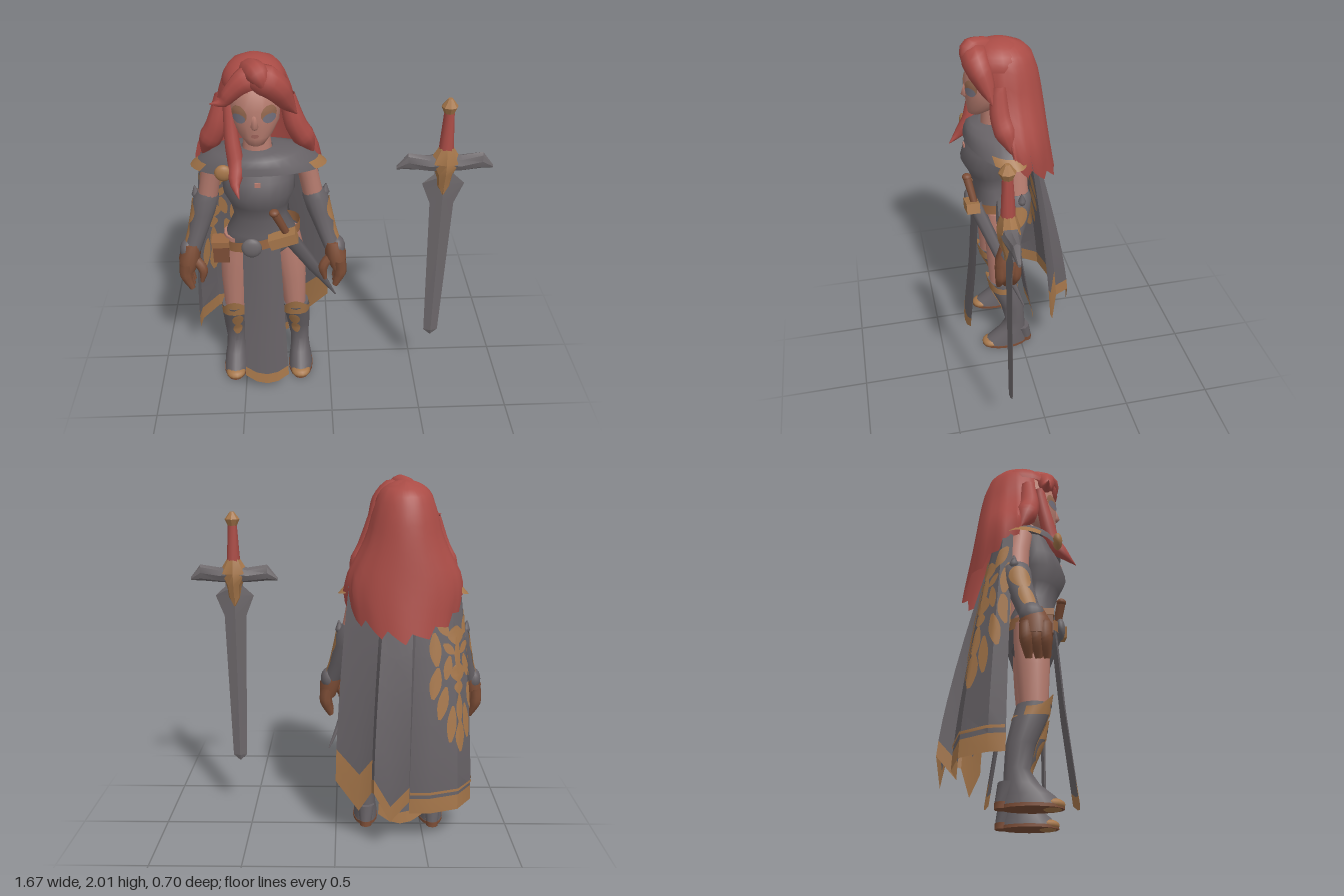
import * as THREE from 'three';
import { toCreasedNormals } from 'three/addons/utils/BufferGeometryUtils.js';

const V = (x, y, z) => new THREE.Vector3(x, y, z);
const paint = (name, color) => {
  const m = new THREE.MeshStandardMaterial({ color, side: THREE.DoubleSide });
  m.name = name;
  return m;
};
const M = {
  cloth: paint('charcoal cloth', 0x666165), gold: paint('old gold', 0xa5764a),
  hair: paint('red hair', 0xaa4c46), skin: paint('skin', 0xb67c6f),
  leather: paint('brown leather', 0x7c4d36), belt: paint('tan leather', 0x9a6843),
  steel: paint('steel', 0x6c676a), eye: paint('slate eye', 0x74707c), shade: paint('eye shade', 0x966950),
  lip: paint('lip', 0xa5685f),
};
const { lerp, clamp } = THREE.MathUtils;

// linear lookup in a short table
function table(xs, ys, x) {
  for (let i = 1; i < xs.length; i++)
    if (x <= xs[i]) return lerp(ys[i - 1], ys[i], (x - xs[i - 1]) / (xs[i] - xs[i - 1]));
  return ys[ys.length - 1];
}
// surface of nu x nv cells from a point rule; pick(i, j) chooses the material of a cell
function grid(name, nu, nv, fn, mats, pick = () => 0, crease = 0.9) {
  mats = [mats].flat();
  const pos = [], faces = mats.map(() => []), g = new THREE.BufferGeometry();
  for (let j = 0; j <= nv; j++) for (let i = 0; i <= nu; i++) pos.push(...fn(i, j));
  for (let j = 0; j < nv; j++) for (let i = 0; i < nu; i++) {
    const a = j * (nu + 1) + i, d = a + nu + 1;
    faces[pick(i, j)].push(a, d, a + 1, a + 1, d, d + 1);
  }
  g.setAttribute('position', new THREE.Float32BufferAttribute(pos, 3));
  g.setIndex(faces.flat());
  let start = 0;
  faces.forEach((f, k) => { g.addGroup(start, f.length, k); start += f.length; });
  const mesh = new THREE.Mesh(toCreasedNormals(g, crease), mats.length > 1 ? mats : mats[0]);
  mesh.name = name;
  return mesh;
}
// closed loft through level rings [y, rx, rz, cx, cz], listed from the top down
function loft(name, rings, mat, n = 14, crease = 0.9) {
  const first = rings[0], last = rings[rings.length - 1];
  const flat = r => [r[0], 0, 0, r[3], r[4]];
  const all = [flat(first), ...rings, flat(last)];
  return grid(name, n, all.length - 1, (i, j) => {
    const [y, rx, rz, cx = 0, cz = 0] = all[j], a = (i % n) / n * Math.PI * 2;
    return [cx + rx * Math.sin(a), y, cz + rz * Math.cos(a)];
  }, mat, undefined, crease);
}
// oval painted patch lying on a loft, round angle a0
function patch(name, rings, a0, spread, yTop, yBot, mat, off = .004) {
  const up = [...rings].reverse(), ys = up.map(r => r[0]);
  return grid(name, 6, 8, (i, j) => {
    const y = lerp(yTop, yBot, j / 8), a = a0 + (i / 3 - 1) * spread * Math.sqrt(Math.sin(Math.PI * (.03 + .94 * j / 8)));
    const [rx, rz, cx, cz] = [1, 2, 3, 4].map(k => table(ys, up.map(r => r[k]), y));
    return [cx + (rx + off) * Math.sin(a), y, cz + (rz + off) * Math.cos(a)];
  }, mat);
}
// tube with changing radius
function taper(name, pts, radii, mat, seg = 10, sides = 8) {
  const curve = new THREE.CatmullRomCurve3(pts.map(p => V(...p)));
  const g = new THREE.TubeGeometry(curve, seg, 1, sides), p = g.attributes.position, v = V(0, 0, 0);
  const ts = radii.map((_, i) => i / (radii.length - 1));
  for (let k = 0; k < p.count; k++) {
    const t = Math.floor(k / (sides + 1)) / seg, c = curve.getPointAt(t);
    v.fromBufferAttribute(p, k).sub(c).multiplyScalar(table(ts, radii, t)).add(c);
    p.setXYZ(k, v.x, v.y, v.z);
  }
  const mesh = new THREE.Mesh(toCreasedNormals(g, 1.3), mat);
  mesh.name = name;
  return mesh;
}
function ball(name, pos, scale, mat) {
  const m = new THREE.Mesh(new THREE.SphereGeometry(1, 14, 10), mat);
  m.name = name; m.position.set(...pos); m.scale.set(...scale);
  return m;
}
function box(name, pos, size, mat, roll = 0) {
  const m = new THREE.Mesh(new THREE.BoxGeometry(...size), mat);
  m.name = name; m.position.set(...pos); m.rotation.z = roll;
  return m;
}

// cape folds: [top x, top z, hem x, hem z, hem y]
const FOLDS = [
  [-.31, .02, -.41, -.02, .2], [-.3, -.03, -.4, -.1, .2], [-.25, -.06, -.31, -.23, .2],
  [-.16, -.08, -.15, -.27, .19], [-.07, -.085, -.04, -.25, .18], [-.05, -.09, -.03, -.35, .3],
  [.03, -.1, .07, -.335, .17], [.1, -.09, .16, -.315, .33], [.12, -.085, .17, -.24, .3],
  [.19, -.07, .24, -.2, .17], [.3, -.04, .37, -.15, .33]];
function capePoint(u, t) {
  const i = Math.min(Math.floor(u), FOLDS.length - 2), f = u - i;
  const [xt, zt, xb, zb, yb] = FOLDS[i].map((a, k) => lerp(a, FOLDS[i + 1][k], f));
  return V(lerp(xt, xb, 1 - (1 - t) ** 1.6), lerp(1.43, yb, t), lerp(zt, zb, 1 - (1 - t) ** 1.3));
}
function makeCape() {
  const g = new THREE.Group(); g.name = 'cape';
  const rows = [0, .15, .3, .45, .6, .75, .83, .93, 1];
  g.add(grid('capeCloth', 10, 8, (i, j) => capePoint(i, rows[j]).toArray(), [M.cloth, M.gold],
    (i, j) => (j === 7 || (i >= 8 && j === 6) ? 1 : 0), .5));
  g.add(grid('hemStripe', 4, 1, (i, j) => capePoint(i, .9 + j * .012).add(V(-.003, 0, -.005)).toArray(), M.gold));
  // lion emblem: leaf shapes [offset, height, length, width, turn] lying on both faces of the cape
  const leaf = (x0, y0, len, wid, turn) => [-.007, .007].forEach(off => g.add(grid('lionEmblem', 4, 6, (i, j) => {
    const s = (i / 4 - .5) * wid * Math.sin(Math.PI * (.08 + .84 * j / 6)), q = (j / 6 - .5) * len;
    const c = Math.cos(turn), d = Math.sin(turn), t = (1.43 - (y0 + s * d + q * c)) / 1.23;
    const u = table([0, .08, .21, .37, .49], [0, 1, 2, 3, 4], clamp(.19 + x0 + s * c - q * d, .004, .485));
    return capePoint(u, t).add(V(off * .7, 0, off)).toArray();
  }, M.gold)));
  [[1.17, .1, .16], [1.06, .2, .06], [.97, .1, .13], [.89, .07, .08], [.77, .17, .06], [.62, .18, .075]]
    .forEach(([y, l, w]) => leaf(0, y, l, w, 0));
  for (const s of [-1, 1])
    [[.07, 1.1, .1, .05, -1], [.08, 1.0, .13, .06, .25], [.12, 1.23, .15, .08, -.7], [.17, 1.1, .18, .085, -.15],
      [.165, .92, .17, .08, .2], [.115, .81, .18, .07, .25], [.06, .69, .2, .06, .1]]
      .forEach(([x, y, l, w, turn]) => leaf(s * x, y, l, w, s * turn));
  return g;
}

function makeHair() {
  const g = new THREE.Group(); g.name = 'hair';
  const ys = [1.15, 1.4, 1.5, 1.6, 1.7, 1.8, 1.9, 1.95, 1.98];
  const half = [.29, .33, .305, .25, .205, .18, .145, .1, 0];
  const back = [-.25, -.205, -.19, -.177, -.163, -.145, -.11, -.06, .03];
  const front = [.02, .04, .07, .12, .16, .17, .16, .1, 0];
  const nu = 40, nv = 14;
  // long mane with a jagged lower edge
  g.add(grid('mane', nu, nv, (i, j) => {
    const u = i / nu * 2 - 1, a = u * 2.2, jag = (i % 4) * .018;
    const y = lerp(1.98, 1.15 + .31 * Math.abs(u) ** 1.6 + jag, (j / nv) ** 1.5);
    const c = Math.cos(a), z = .04 - c * (c > 0 ? .04 - table(ys, back, y) : table(ys, front, y));
    const ripple = 1 + .02 * Math.sin(i * Math.PI / 2) * j / nv;
    return [Math.sin(a) * table(ys, half, y) * ripple, y, z];
  }, M.hair, undefined, 1.2));
  const crown = new THREE.Mesh(new THREE.SphereGeometry(1, 18, 8, 0, Math.PI * 2, 0, Math.PI / 2), M.hair);
  crown.name = 'crown'; crown.position.set(0, 1.85, .07); crown.scale.set(.16, .13, .17);
  g.add(crown);
  // swept fringe: a broad wave to the left, a smaller one to the right, and a raised tuft
  const lock = (name, pts, radii) => g.add(taper(name, pts, radii, M.hair, 14, 10));
  lock('leftFringe', [[-.03, 1.88, .16], [.045, 1.905, .2], [.105, 1.86, .19], [.155, 1.77, .16], [.21, 1.69, .14]], [.05, .08, .068, .045, .001]);
  lock('rightFringe', [[.05, 1.91, .15], [-.04, 1.89, .19], [-.11, 1.835, .2], [-.15, 1.79, .2], [-.215, 1.785, .21]], [.05, .072, .05, .032, .001]);
  lock('tuft', [[-.04, 1.9, .08], [.0, 1.935, .17], [.03, 1.935, .23], [.06, 1.87, .25]], [.05, .06, .058, .02]);
  lock('longLock', [[-.125, 1.78, .16], [-.12, 1.6, .195], [-.105, 1.45, .235], [-.11, 1.38, .29], [-.09, 1.33, .35]], [.03, .034, .04, .04, .001]);
  for (const s of [-1, 1])
    lock('sideLock', [[s * .16, 1.78, .1], [s * .2, 1.62, .1], [s * .26, 1.5, .07], [s * .29, 1.42, .05]], [.04, .055, .06, .001]);
  return g;
}

function makeHead() {
  const g = new THREE.Group(); g.name = 'head';
  const face = [[1.93, .06, .06, 0, .1], [1.86, .115, .12, 0, .12], [1.76, .13, .13, 0, .13], [1.68, .122, .125, 0, .135],
    [1.61, .085, .09, 0, .16], [1.57, .045, .045, 0, .2], [1.555, .02, .02, 0, .2]];
  g.add(loft('face', face, M.skin, 18, 1.5));
  g.add(loft('neck', [[1.62, .065, .06, 0, .11], [1.46, .08, .07, 0, .11]], M.skin));
  g.add(loft('nose', [[1.74, .01, .01, 0, .25], [1.68, .02, .025, 0, .255], [1.665, .012, .01, 0, .255]], M.skin, 8, 1.5));
  g.add(patch('mouth', face, 0, .2, 1.64, 1.617, M.lip));
  for (const s of [-1, 1]) {
    g.add(patch('eyeShade', face, s * .62, .36, 1.785, 1.695, M.shade));
    g.add(patch('eye', face, s * .62, .3, 1.745, 1.697, M.eye, .007));
  }
  return g;
}

// arm and leg for one side
function makeLimbs(s) {
  const g = new THREE.Group(); g.name = s > 0 ? 'leftLimbs' : 'rightLimbs';
  const side = rings => rings.map(([y, a, b, x, z]) => [y, a, b, s * x, z]);
  const add = (name, rings, mat, n) => g.add(loft(name, side(rings), mat, n));
  add('upperArm', [[1.42, .06, .065, .23, .05], [1.3, .055, .064, .26, .035], [1.14, .055, .062, .29, .03]], M.skin);
  const bracer = [[1.2, .052, .064, .285, .03], [1.165, .07, .076, .295, .03], [1.08, .066, .072, .315, .04], [.97, .055, .062, .35, .07], [.86, .05, .056, .39, .1]];
  add('bracer', bracer, M.cloth);
  [[1.15, 1.02, .75], [1.03, .89, .6]].forEach(([top, bot, w]) =>
    g.add(patch('bracerTrim', side(bracer), s * 1.45, w, top, bot, M.gold, .005)));
  g.add(taper('elbowGuard', [[s * .355, 1.22, .02], [s * .35, 1.17, .02], [s * .35, 1.12, .02]], [.004, .025, .004], M.cloth));
  add('glove', [[.91, .045, .055, .385, .1], [.83, .06, .073, .405, .115], [.75, .045, .066, .42, .12]], M.leather);
  g.add(ball('handPlate', [s * .413, .86, .1], [.046, .065, .06], M.cloth));
  [.075, .12, .16].forEach(z => g.add(taper('finger', [[s * .425, .81, z], [s * .43, .73, z], [s * .4, .645, z + .01]], [.035, .034, .016], M.leather)));
  g.add(taper('thumb', [[s * .38, .82, .13], [s * .335, .76, .15], [s * .345, .68, .16]], [.03, .028, .01], M.leather));
  add('thigh', [[.99, .08, .09, .125, .11], [.85, .088, .09, .145, .11], [.7, .078, .083, .16, .112], [.5, .062, .068, .17, .115]], M.skin);
  const boot = [[.5, .073, .085, .175, .115], [.42, .074, .082, .18, .09], [.3, .066, .07, .187, .05], [.18, .053, .06, .192, .033],
    [.11, .057, .085, .194, .055], [.06, .066, .12, .195, .085], [.015, .07, .145, .195, .1]];
  add('boot', boot, M.cloth, 16);
  [[.44, .34, .45], [.345, .25, .4]].forEach(([top, bot, w]) =>
    g.add(patch('bootPattern', side(boot), s * -.25, w, top, bot, M.gold)));
  add('sole', [[.016, .073, .145, .195, .1], [0, .073, .145, .195, .1]], M.leather, 16);
  add('heel', [[.12, .05, .045, .195, -.01], [.03, .036, .035, .195, -.033]], M.cloth, 10);
  add('heelTip', [[.03, .037, .037, .195, -.033], [0, .035, .035, .195, -.036]], M.leather, 10);
  g.add(ball('toeCap', [s * .195, .02, .19], [.057, .03, .058], M.gold));
  // gold boot cuff, peaked at the front
  g.add(grid('bootCuff', 16, 1, (i, j) => {
    const a = i / 16 * Math.PI * 2, f = Math.max(Math.cos(a), 0) ** 2;
    return [s * .174 + .08 * Math.sin(a), (j ? .43 : .475) + (j ? .02 : .085) * f, (j ? .098 : .117) + .091 * Math.cos(a)];
  }, M.gold));
  return g;
}

// hanging cloth panel with a gold hem
function panel(name, z) {
  const rows = [0, .25, .5, .75, .93, 1];
  return grid(name, 4, 5, (i, j) => {
    const q = i / 2 - 1, t = rows[j];
    return [q * lerp(.1, .125, t), lerp(.98, .05 + .05 * q * q, t), table([0, .5, 1], z, t) - .02 * q * q * Math.sign(z[2])];
  }, [M.cloth, M.gold], (i, j) => (j === 4 ? 1 : 0));
}

function makeBody() {
  const g = new THREE.Group(); g.name = 'body';
  g.add(loft('bodice', [[1.46, .19, .1, 0, .12], [1.36, .19, .135, 0, .14], [1.28, .187, .15, 0, .15], [1.2, .155, .12, 0, .14],
    [1.12, .14, .1, 0, .135], [1.02, .185, .125, 0, .115], [.93, .2, .13, 0, .11], [.87, .12, .1, 0, .11]], M.cloth, 20));
  // shoulder mantle: drooping at the sides, swept back over the shoulders, with gold corners
  const m = [[1.515, .08, .07, 0], [1.505, .13, .115, 0], [1.485, .235, .14, 0], [1.45, .315, .152, .03], [1.415, .36, .158, .045]];
  g.add(grid('mantle', 32, 4, (i, j) => {
    const a = i / 32 * Math.PI * 2, [y, rx, rz, drop] = m[j], s = Math.sin(a);
    return [rx * s, y - drop * s * s, .12 - .08 * s * s * (j / 4) + rz * Math.cos(a)];
  }, [M.cloth, M.gold], (i, j) => (j === 3 && Math.abs(Math.sin((i + .5) / 16 * Math.PI)) > .8 ? 1 : 0)));
  g.add(box('neckline', [0, 1.365, .277], [.03, .025, .008], M.skin));
  g.add(ball('brooch', [-.17, 1.425, .25], [.045, .045, .025], M.gold));
  g.add(panel('frontPanel', [.245, .28, .33]), panel('backPanel', [-.02, -.05, -.12]));
  // slanted belt with buckle and pouch
  g.add(grid('belt', 24, 1, (i, j) => {
    const a = i / 24 * Math.PI * 2;
    return [.21 * Math.sin(a), .985 + .05 * Math.sin(a) + (j ? -.03 : .03), .115 + .145 * Math.cos(a)];
  }, M.belt));
  g.add(ball('buckle', [-.05, .97, .26], [.055, .058, .025], M.steel));
  g.add(box('pouch', [-.22, .905, .17], [.085, .12, .08], M.leather), box('pouchFlap', [-.22, .96, .17], [.095, .035, .09], M.belt));
  // sheathed short sword at the hip
  g.add(taper('hipGrip', [[.08, 1.2, .28], [.14, 1.05, .25]], [.024, .02], M.leather));
  g.add(ball('hipPommel', [.078, 1.2, .28], [.027, .02, .027], M.leather));
  g.add(box('hipGuard', [.12, 1.03, .265], [.15, .06, .075], M.gold, .3));
  g.add(taper('scabbard', [[.14, 1.05, .25], [.28, .75, .13], [.41, .46, .02]], [.042, .034, .004], M.cloth, 10, 6));
  return g;
}

function makeSword() {
  const g = new THREE.Group(); g.name = 'greatsword';
  g.add(loft('blade', [[1.4, .05, .018], [1.375, .05, .018], [1.32, .11, .012], [1.2, .063, .016], [.335, .04, .012], [.3, .003, .003]], M.steel, 4, .2));
  const half = [[.247, .009, .008, -1.417], [.19, .046, .022, -1.453], [.08, .042, .042, -1.44]];
  const guard = loft('crossguard', [...half, [0, .055, .05, -1.45], ...half.map(([y, ...r]) => [-y, ...r]).reverse()], M.steel, 8, .4);
  guard.rotation.z = -Math.PI / 2;
  g.add(guard);
  g.add(loft('guardBoss', [[1.53, .038, .035], [1.45, .088, .057], [1.385, .045, .05], [1.31, .036, .026], [1.26, .006, .02]], M.gold, 8, .4));
  g.add(loft('grip', [[1.72, .026, .026], [1.52, .038, .036]], M.hair, 10));
  g.add(loft('pommel', [[1.795, .012, .012], [1.755, .042, .042], [1.715, .024, .024]], M.gold, 8, .3));
  g.position.set(.585, 0, .215);
  return g;
}

export function createModel() {
  const model = new THREE.Group(), figure = new THREE.Group();
  model.name = 'caped swordswoman'; figure.name = 'figure';
  figure.add(makeBody(), makeHead(), makeHair(), makeCape(), makeLimbs(1), makeLimbs(-1));
  figure.position.x = -.37;
  model.add(figure, makeSword());
  return model;
}
